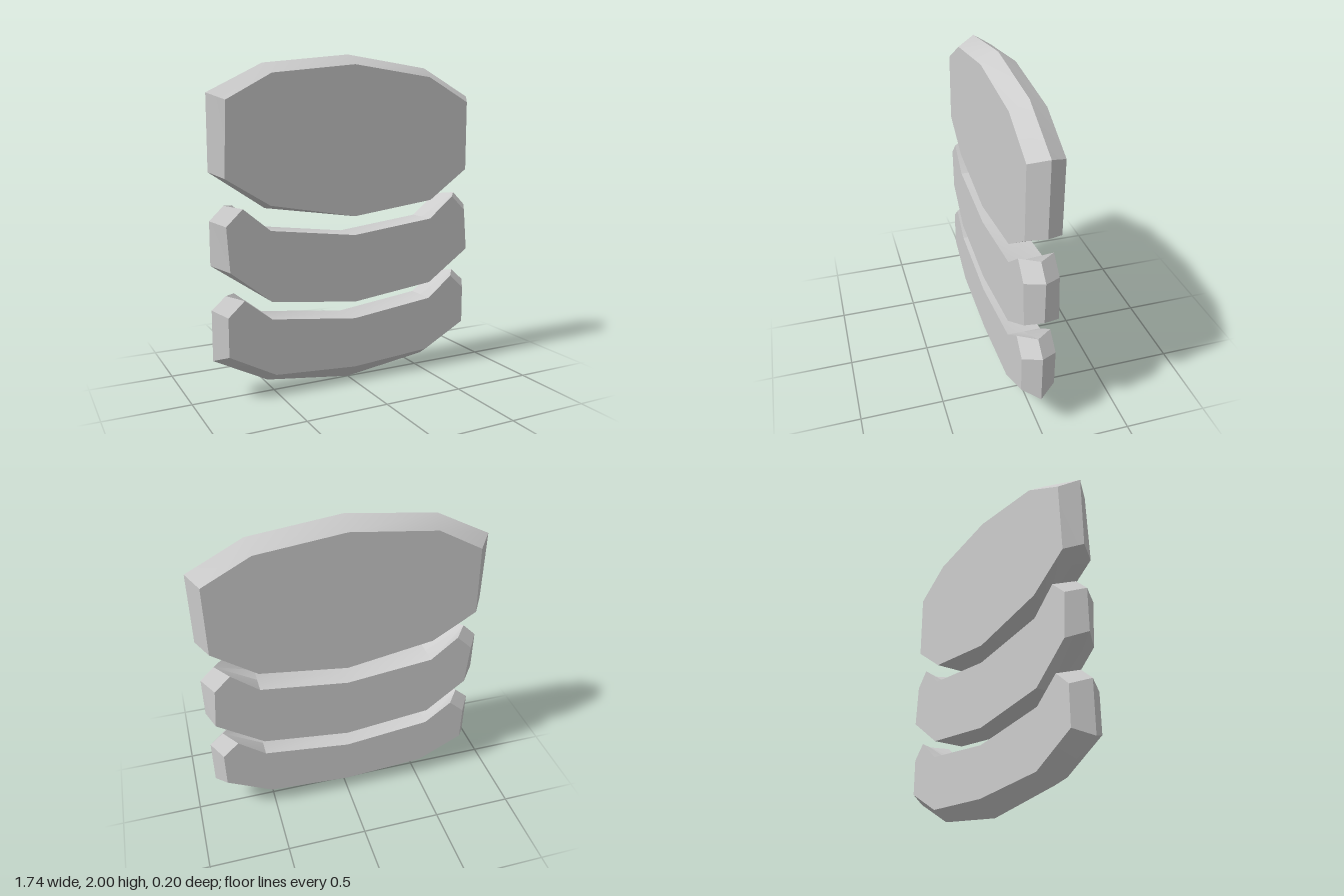
import * as THREE from 'three';
import { toCreasedNormals } from 'three/addons/utils/BufferGeometryUtils.js';

const HALF_DEPTH = 0.1;

// Half outlines from bottom centre round to top centre.
// Row: ridge x, y (at z = 0), face x, y (at z = +-depth), optional face x, y for the mirrored side.
const PLATES = {
  upperPlate: [
    [0, 1.04, 0, 1.04],
    [0.54, 1.11, 0.54, 1.11, 0.54, 1.135],
    [0.87, 1.33, 0.805, 1.297],
    [0.87, 1.765, 0.805, 1.725, 0.79, 1.725],
    [0.54, 1.935, 0.52, 1.875],
    [0, 2, 0, 1.937],
  ],
  middlePlate: [
    [0, 0.51, 0, 0.51],
    [0.54, 0.575, 0.54, 0.575],
    [0.87, 0.80, 0.825, 0.772, 0.785, 0.768],
    [0.87, 1.055, 0.803, 1.03],
    [0.785, 1.138, 0.705, 1.125],
    [0.54, 0.99, 0.54, 0.99],
    [0, 0.925, 0, 0.925],
  ],
  lowerPlate: [
    [0, 0, 0, 0.095],
    [0.54, 0.07, 0.52, 0.13],
    [0.87, 0.24, 0.803, 0.28],
    [0.87, 0.54, 0.803, 0.51],
    [0.785, 0.615, 0.705, 0.60],
    [0.54, 0.47, 0.54, 0.47],
    [0, 0.405, 0, 0.405],
  ],
};

// Slab with two flat faces and a rim folded along a middle ridge
function plateGeometry(half) {
  const left = half.slice(1, -1).reverse()
    .map(([mx, my, fx, fy, lx = fx, ly = fy]) => [-mx, my, -lx, ly]);
  const loop = [...half, ...left];
  const n = loop.length;

  const positions = [];
  for (const p of loop) positions.push(p[2], p[3], HALF_DEPTH);
  for (const p of loop) positions.push(p[0], p[1], 0);
  for (const p of loop) positions.push(p[2], p[3], -HALF_DEPTH);

  const index = [];
  // Front and back faces
  const outline = loop.map((p) => new THREE.Vector2(p[2], p[3]));
  for (const [a, b, c] of THREE.ShapeUtils.triangulateShape(outline, [])) {
    index.push(a, b, c, 2 * n + c, 2 * n + b, 2 * n + a);
  }
  // Rim: front ring to ridge, ridge to back ring
  for (let ring = 0; ring < 2; ring++) {
    for (let i = 0; i < n; i++) {
      const a = ring * n + i;
      const b = ring * n + (i + 1) % n;
      index.push(a, a + n, b, b, a + n, b + n);
    }
  }

  const geometry = new THREE.BufferGeometry();
  geometry.setAttribute('position', new THREE.Float32BufferAttribute(positions, 3));
  geometry.setIndex(index);
  return toCreasedNormals(geometry, 0.45);
}

export function createModel() {
  const group = new THREE.Group();
  group.name = 'stackedPlates';
  const material = new THREE.MeshStandardMaterial({ color: 0xcccccc });
  for (const [name, half] of Object.entries(PLATES)) {
    const mesh = new THREE.Mesh(plateGeometry(half), material);
    mesh.name = name;
    group.add(mesh);
  }
  return group;
}
